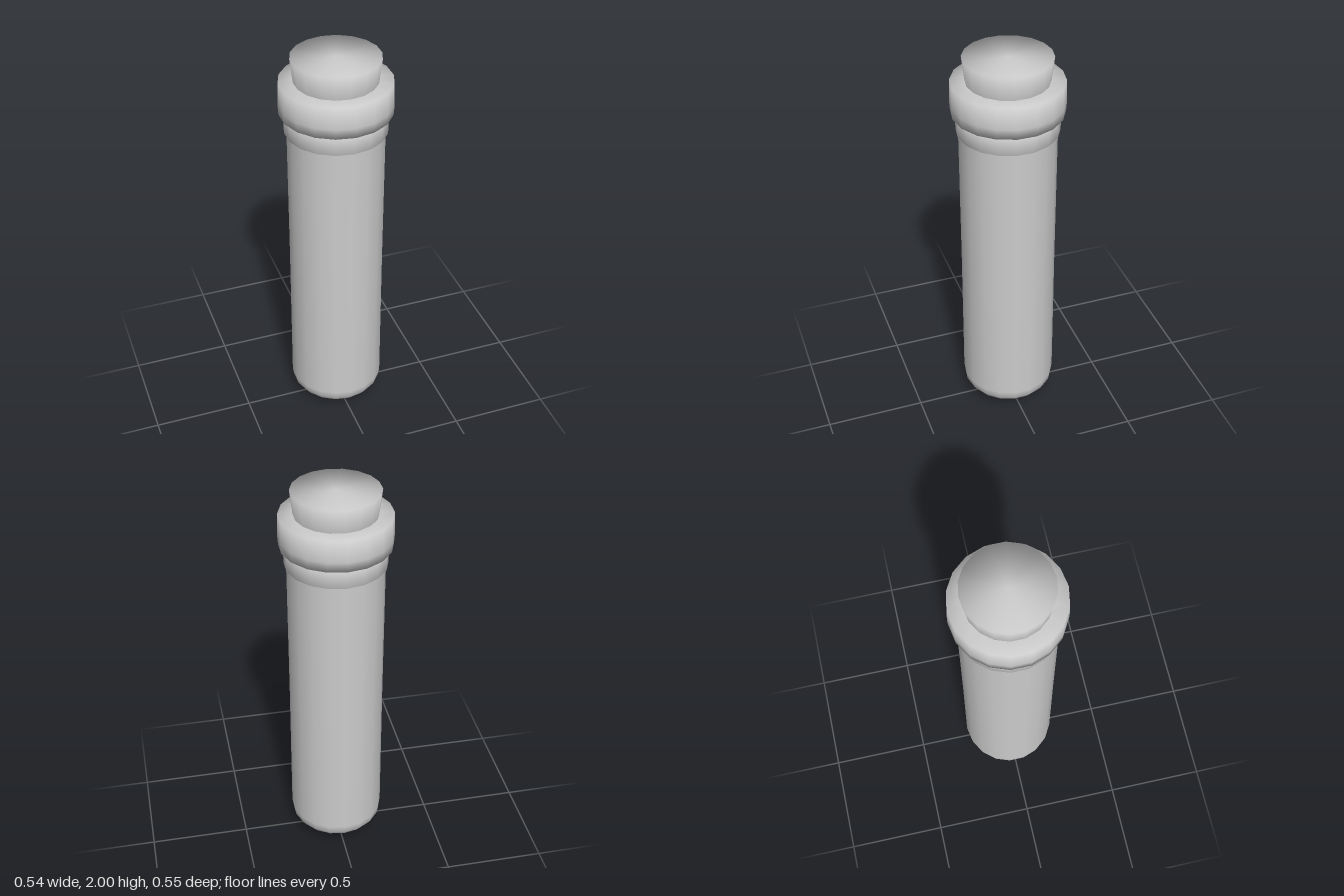
import * as THREE from 'three';

const SIDES = 18;

export function createModel() {
  const group = new THREE.Group();
  const material = new THREE.MeshStandardMaterial({ color: 0xcccccc });

  // Turned part from [radius, height] pairs, listed bottom to top
  const turned = (name, profile) => {
    const points = profile.map(([r, y]) => new THREE.Vector2(r, y));
    const mesh = new THREE.Mesh(new THREE.LatheGeometry(points, SIDES), material);
    mesh.name = name;
    group.add(mesh);
  };

  // Softly rounded foot and long tube
  turned('tubeBottom', [[0, 0], [0.13, 0], [0.21, 0.07]]);
  turned('tubeBody', [[0.21, 0.07], [0.232, 0.1], [0.238, 0.14], [0.236, 0.9], [0.237, 1.64]]);

  // Stepped collar at the mouth
  turned('neckRing', [[0.22, 1.62], [0.249, 1.62], [0.249, 1.715], [0.2, 1.715]]);
  turned('lipRing', [[0.2, 1.72], [0.272, 1.72], [0.275, 1.77], [0.272, 1.88], [0.18, 1.88]]);

  // Tapered stopper pushed into the mouth
  turned('stopper', [[0, 1.7], [0.18, 1.7], [0.215, 2], [0, 2]]);

  return group;
}
